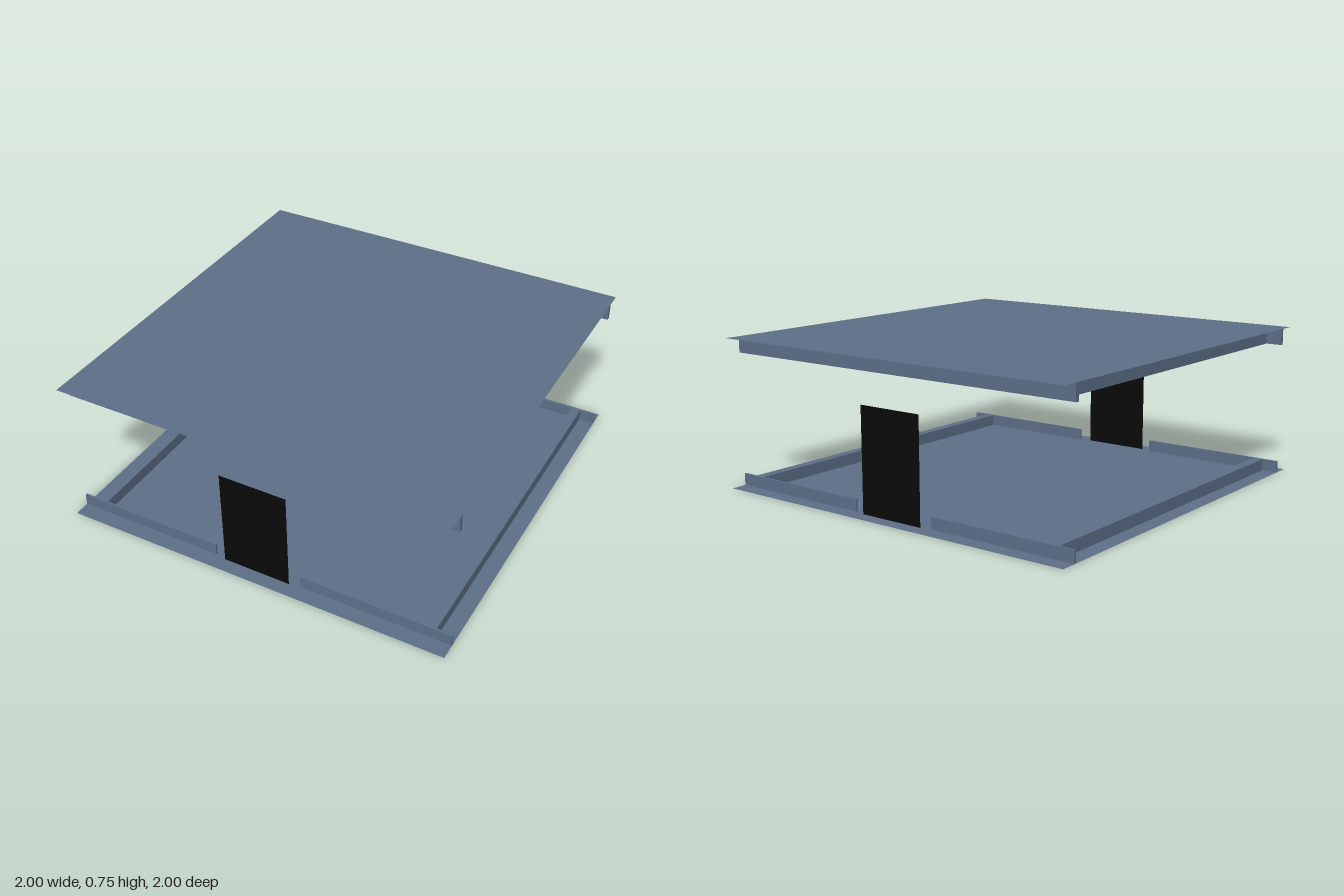
import * as THREE from 'three';

export function createModel() {
  const model = new THREE.Group();
  const slate = new THREE.MeshStandardMaterial({ color: 0x5d7089, side: THREE.DoubleSide });
  slate.name = 'slate blue';
  const black = new THREE.MeshStandardMaterial({ color: 0x0a0a0a, side: THREE.DoubleSide });
  black.name = 'door black';

  const HEIGHT = 0.75, WALL = 0.92;

  function add(name, geometry, material, x, y, z) {
    const mesh = new THREE.Mesh(geometry, material);
    mesh.name = name;
    mesh.position.set(x, y, z);
    model.add(mesh);
    return mesh;
  }

  // Floor and ceiling sheets
  for (const [name, y] of [['floor', 0], ['ceiling', HEIGHT]]) {
    add(name, new THREE.PlaneGeometry(2, 2).rotateX(-Math.PI / 2), slate, 0, y, 0);
  }

  for (const side of [-1, 1]) {
    const end = side > 0 ? 'front' : 'back';
    const flank = side > 0 ? 'left' : 'right';

    // Door panel in the gap between the skirting boards
    add(end + 'Door', new THREE.PlaneGeometry(0.35, 0.515), black, 0, 0.2575, side * 0.93);

    // Skirting and ceiling trim across the front and back, reaching the sheet edges
    for (const x of [-1, 1]) {
      add(end + 'Skirting', new THREE.BoxGeometry(0.77, 0.06, 0.01), slate,
        x * 0.615, 0.03, side * (WALL - 0.005));
    }
    add(end + 'CeilingTrim', new THREE.BoxGeometry(2, 0.08, 0.02), slate,
      0, HEIGHT - 0.04, side * (WALL - 0.01));

    // Skirting and ceiling trim along the flanks
    add(flank + 'Skirting', new THREE.BoxGeometry(0.05, 0.06, WALL * 2 - 0.02), slate,
      side * (WALL - 0.025), 0.03, 0);
    add(flank + 'CeilingTrim', new THREE.BoxGeometry(0.02, 0.08, WALL * 2 - 0.04), slate,
      side * (WALL - 0.01), HEIGHT - 0.04, 0);
  }
  return model;
}
